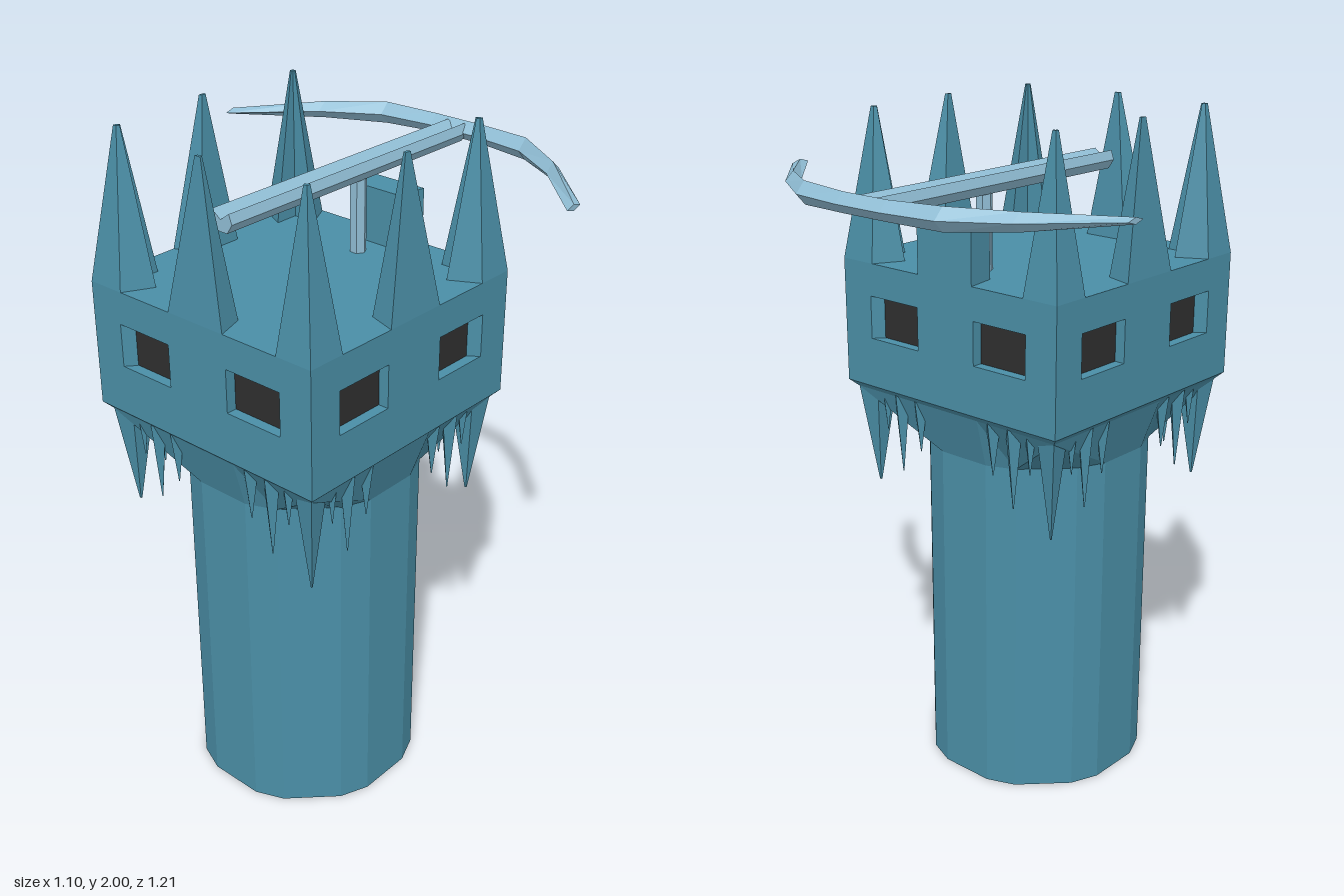
import * as THREE from 'three';

const stone = new THREE.MeshStandardMaterial({ color: 0x4a8ea6 });
stone.name = 'blue stone';
const pale = new THREE.MeshStandardMaterial({ color: 0x90bdd4 });
pale.name = 'pale blue metal';
const dark = new THREE.MeshStandardMaterial({ color: 0x2e2e2e });
dark.name = 'dark window';

// Faceted solid through rings of [x, y, z], capped at both ends
function loft(rings) {
  const tris = [];
  const n = rings[0].length;
  for (let r = 0; r < rings.length - 1; r++) {
    for (let i = 0; i < n; i++) {
      const j = (i + 1) % n, a = rings[r], b = rings[r + 1];
      tris.push([a[i], b[i], b[j]], [a[i], b[j], a[j]]);
    }
  }
  const cap = (ring, flip) => {
    const c = [0, 1, 2].map(k => ring.reduce((s, p) => s + p[k], 0) / n);
    ring.forEach((p, i) => {
      const q = ring[(i + 1) % n];
      tris.push(flip ? [c, q, p] : [c, p, q]);
    });
  };
  cap(rings[0], false);
  cap(rings[rings.length - 1], true);
  // Turn the faces outward whatever the ring direction
  const o = new THREE.Vector3(...rings[0][0]);
  let volume = 0;
  for (const t of tris) {
    const [a, b, c] = t.map(p => new THREE.Vector3(...p).sub(o));
    volume += a.dot(b.cross(c));
  }
  if (volume < 0) tris.forEach(t => t.reverse());
  const g = new THREE.BufferGeometry();
  g.setAttribute('position', new THREE.Float32BufferAttribute(tris.flat(2), 3));
  g.computeVertexNormals();
  return g;
}

function add(parent, name, geometry, material) {
  const m = new THREE.Mesh(geometry, material);
  m.name = name;
  parent.add(m);
  return m;
}

// Spike from a flat base outline to a small blunt tip
function spike(base, y0, tip, y1, s = 0.1) {
  return loft([
    base.map(([x, z]) => [x, y0, z]),
    base.map(([x, z]) => [tip[0] + (x - tip[0]) * s, y1, tip[1] + (z - tip[1]) * s]),
  ]);
}

const H = 0.395, FLOOR = 1.21, ROOF = 1.575, INNER = 0.36;

function buildTower() {
  const tower = new THREE.Group();
  tower.name = 'tower';

  // Round shaft, flaring to the square head
  const round = [], square = [];
  for (let q = 0; q < 4; q++) {
    const turn = (x, z) => [[x, z], [-z, x], [-x, -z], [z, -x]][q];
    for (const deg of [-14.5, 14.5, 30, 60]) {
      const a = deg * Math.PI / 180;
      round.push(turn(0.335 * Math.cos(a), 0.335 * Math.sin(a)));
      square.push(deg >= 30 ? turn(1, 1) : turn(1, Math.tan(a)));
    }
  }
  const ring = (pts, y, s = 1) => pts.map(([x, z]) => [x * s, y, z * s]);
  add(tower, 'shaft', loft([ring(round, 0), ring(round, 1.04)]), stone);
  add(tower, 'flare', loft([ring(round, 1.04), ring(square, 1.19, 0.375), ring(square, FLOOR, H)]), stone);

  // Square head: core, roof and four pierced walls
  const core = add(tower, 'headCore', new THREE.BoxGeometry(INNER * 2, ROOF - FLOOR, INNER * 2), stone);
  core.position.y = (FLOOR + ROOF) / 2;
  for (let k = 0; k < 4; k++) {
    const side = new THREE.Group();
    side.name = 'headSide';
    side.rotation.y = k * Math.PI / 2;
    tower.add(side);
    const w = k % 2 ? INNER : H;
    const wall = new THREE.Shape([[-w, FLOOR], [w, FLOOR], [w, ROOF], [-w, ROOF]].map(p => new THREE.Vector2(...p)));
    for (const s of [-1, 1]) {
      wall.holes.push(new THREE.Path([[0.105, 1.355], [0.29, 1.355], [0.29, 1.48], [0.105, 1.48]]
        .map(([x, y]) => new THREE.Vector2(s * x, y))));
      // Dark pane and slanted outer reveal
      const pane = add(side, 'windowPane', new THREE.BoxGeometry(0.185, 0.125, 0.004), dark);
      pane.position.set(s * 0.1975, 1.4175, INNER + 0.002);
      const wedge = [[0.29, H], [0.29, INNER], [0.265, INNER + 0.005]];
      add(side, 'windowReveal', loft([1.355, 1.48].map(y => wedge.map(([x, z]) => [s * x, y, z]))), stone);
    }
    const g = new THREE.ExtrudeGeometry(wall, { depth: H - INNER, bevelEnabled: false });
    g.translate(0, 0, INNER);
    add(side, 'wall', g, stone);

    // Middle spike, or a square merlon on the bow side
    if (k === 1) {
      add(side, 'merlon', loft([ROOF, 1.737].map(y =>
        [[-0.1, y, H], [0.1, y, H], [0.085, y, 0.305], [-0.085, y, 0.305]])), stone);
    } else {
      add(side, 'middleSpike', spike([[-0.098, H], [0.098, H], [0.07, 0.31], [-0.07, 0.31]], ROOF, [0, 0.352], 2), stone);
    }

    // Hanging icicles along the lower edge
    for (const s of [-1, 1]) {
      for (const [x, tip, r] of [[0.275, 1.07, 0.022], [0.215, 0.955, 0.032], [0.14, 1.035, 0.03]]) {
        const z = 0.355;
        const base = [[x - r, z], [x, z + r * 0.8], [x + r, z], [x, z - r]].map(([a, b]) => [s * a, b]);
        add(side, 'icicle', spike(base, 1.2, [s * x, z], tip, 0.06), stone);
      }
    }
  }

  // Corner spikes and the long corner icicles
  const corner = [[0, 0], [0.115, 0], [0.16, 0.085], [0.085, 0.085], [0.085, 0.16], [0, 0.115]];
  for (const sx of [-1, 1]) {
    for (const sz of [-1, 1]) {
      const at = ([u, v]) => [sx * (H - u), sz * (H - v)];
      add(tower, 'cornerSpike', spike(corner.map(at), ROOF, at([0.07, 0.07]), 2), stone);
      const ice = [[0.02, 0.02], [0.09, 0.03], [0.1, 0.1], [0.03, 0.09]];
      add(tower, 'cornerIcicle', spike(ice.map(at), 1.2, at([0.06, 0.06]), 0.89, 0.06), stone);
    }
  }
  return tower;
}

function buildBow() {
  const bow = new THREE.Group();
  bow.name = 'mountedBow';

  // Grooved stock
  const section = [[-0.03, 1.842], [0, 1.82], [0.03, 1.842], [0.04, 1.815], [0.022, 1.788], [-0.022, 1.788], [-0.04, 1.815]];
  add(bow, 'stock', loft([-0.445, 0.51].map(x => section.map(([z, y]) => [x, y, z]))), pale);

  // Post
  const post = add(bow, 'post', new THREE.CylinderGeometry(0.024, 0.024, 0.23, 6), pale);
  post.geometry = post.geometry.toNonIndexed();
  post.geometry.computeVertexNormals();
  post.position.set(0.078, 1.685, 0);

  // Curved limbs with a diamond section, thinning to the tips: x, z, half height
  const half = [[0.52, 0.08, 0.028], [0.5, 0.25, 0.032], [0.4, 0.41, 0.025], [0.205, 0.607, 0.009]];
  const path = [...half.map(([x, z, h]) => [x, -z, h]).reverse(), ...half];
  add(bow, 'limbs', loft(path.map(([x, z, h]) =>
    [[x - 0.03, 1.818, z], [x, 1.818 + h, z], [x + 0.03, 1.818, z], [x, 1.818 - h, z]])), pale);
  return bow;
}

export function createModel() {
  const model = new THREE.Group();
  model.name = 'watchtower';
  const tower = buildTower();
  tower.position.x = -0.155;
  model.add(tower, buildBow());
  return model;
}
